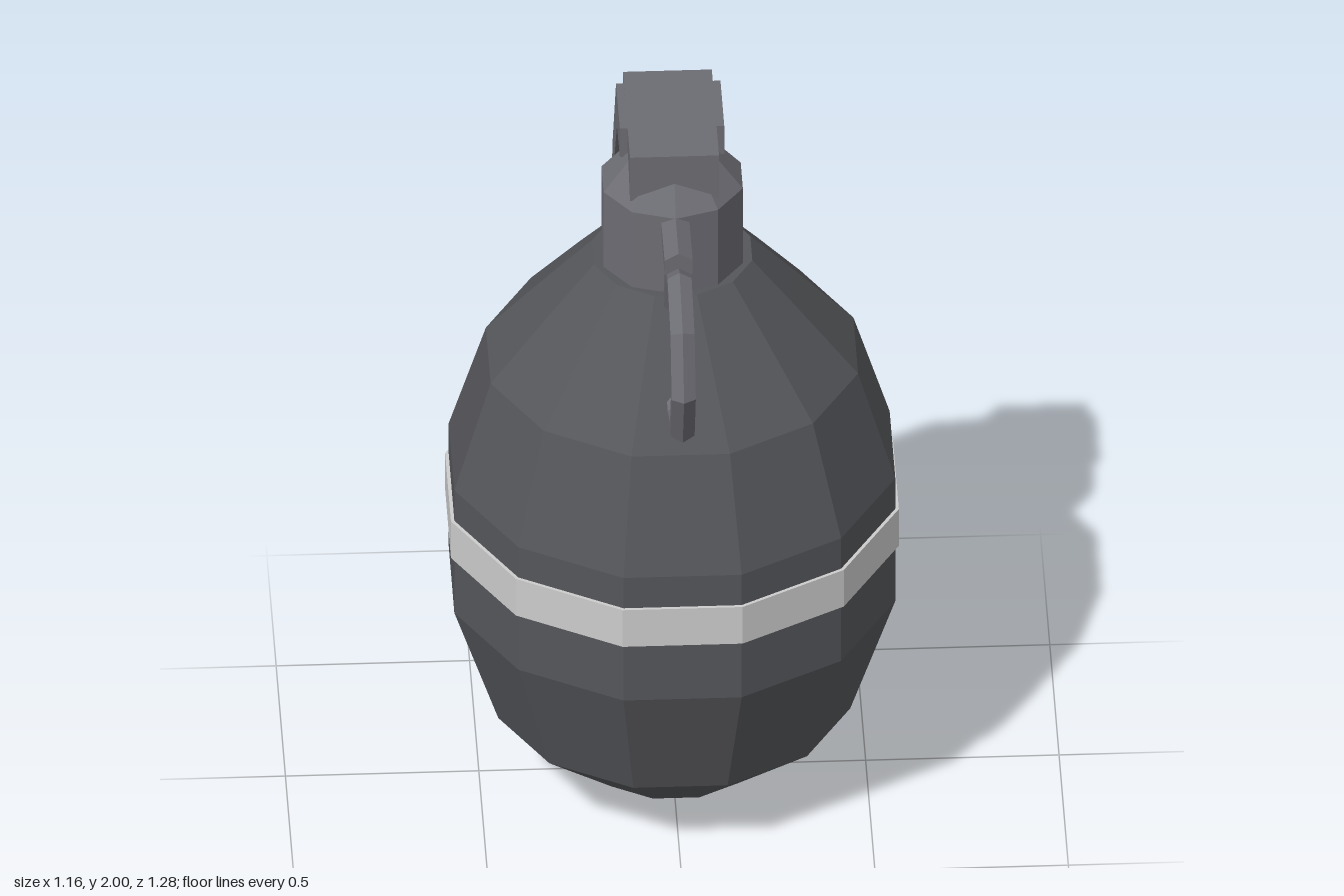
import * as THREE from 'three';

const paint = (color) => new THREE.MeshStandardMaterial({ color, flatShading: true });

export function createModel() {
  const model = new THREE.Group();
  const shell = paint(0x55565a);
  const metal = paint(0x6c6c73);
  const pale = paint(0xcccccc);
  const axisZ = -0.013;

  const add = (name, geometry, material, x = 0, y = 0, z = 0) => {
    const mesh = new THREE.Mesh(geometry, material);
    mesh.name = name;
    mesh.position.set(x, y, z);
    model.add(mesh);
    return mesh;
  };

  // Faceted solid of revolution; radii are measured to the flats
  const turned = (profile, sides, start) => {
    const k = 1 / Math.cos(Math.PI / sides);
    return new THREE.LatheGeometry(
      profile.map(([r, y]) => new THREE.Vector2(r * k, y)), sides, start);
  };

  // Side profile given as [z, y], extruded across x
  const sidePlate = (points, width) => {
    const shape = new THREE.Shape(points.map(([z, y]) => new THREE.Vector2(-z, y)));
    const g = new THREE.ExtrudeGeometry(shape, { depth: width, bevelEnabled: false });
    return g.translate(0, 0, -width / 2).rotateY(Math.PI / 2);
  };

  // Egg-shaped body
  add('body', turned([
    [0, 0], [0.225, 0.045], [0.455, 0.24], [0.57, 0.595], [0.57, 0.98],
    [0.475, 1.295], [0.31, 1.49], [0.205, 1.61], [0, 1.61],
  ], 12, Math.PI / 12), shell, 0, 0, axisZ);

  // Pale band around the middle
  add('band', turned([
    [0.56, 0.77], [0.579, 0.77], [0.579, 0.885], [0.56, 0.885],
  ], 12, Math.PI / 12), pale, 0, 0, axisZ);

  // Ten-sided neck with a chamfered top
  add('neck', turned([
    [0.18, 1.58], [0.18, 1.845], [0.115, 1.925], [0, 1.925],
  ], 10, 0), metal, 0, 0, -0.005);

  // Cap with the hinge bracket reaching down behind the neck
  add('capBracket', sidePlate([
    [0.125, 2], [0.125, 1.865], [-0.13, 1.865], [-0.13, 1.62],
    [-0.265, 1.54], [-0.265, 2],
  ], 0.23), metal);

  // Bent lever running down the back
  add('lever', sidePlate([
    [-0.01, 1.999], [-0.01, 1.91], [-0.165, 1.9], [-0.335, 1.66], [-0.41, 1.4],
    [-0.5, 1.14], [-0.535, 0.75], [-0.5, 0.36], [-0.6, 0.36], [-0.638, 0.75],
    [-0.6, 1.14], [-0.4, 1.69], [-0.215, 1.999],
  ], 0.27), metal);

  // Safety pin
  const pin = add('pin', new THREE.CylinderGeometry(0.042, 0.042, 0.24, 6), metal, 0, 1.805, 0.225);
  pin.rotation.x = Math.PI / 2;

  // Pull ring
  const ring = add('pullRing', new THREE.TorusGeometry(0.207, 0.036, 6, 8), metal, 0, 1.58, 0.397);
  ring.rotation.y = Math.PI / 2;

  return model;
}
